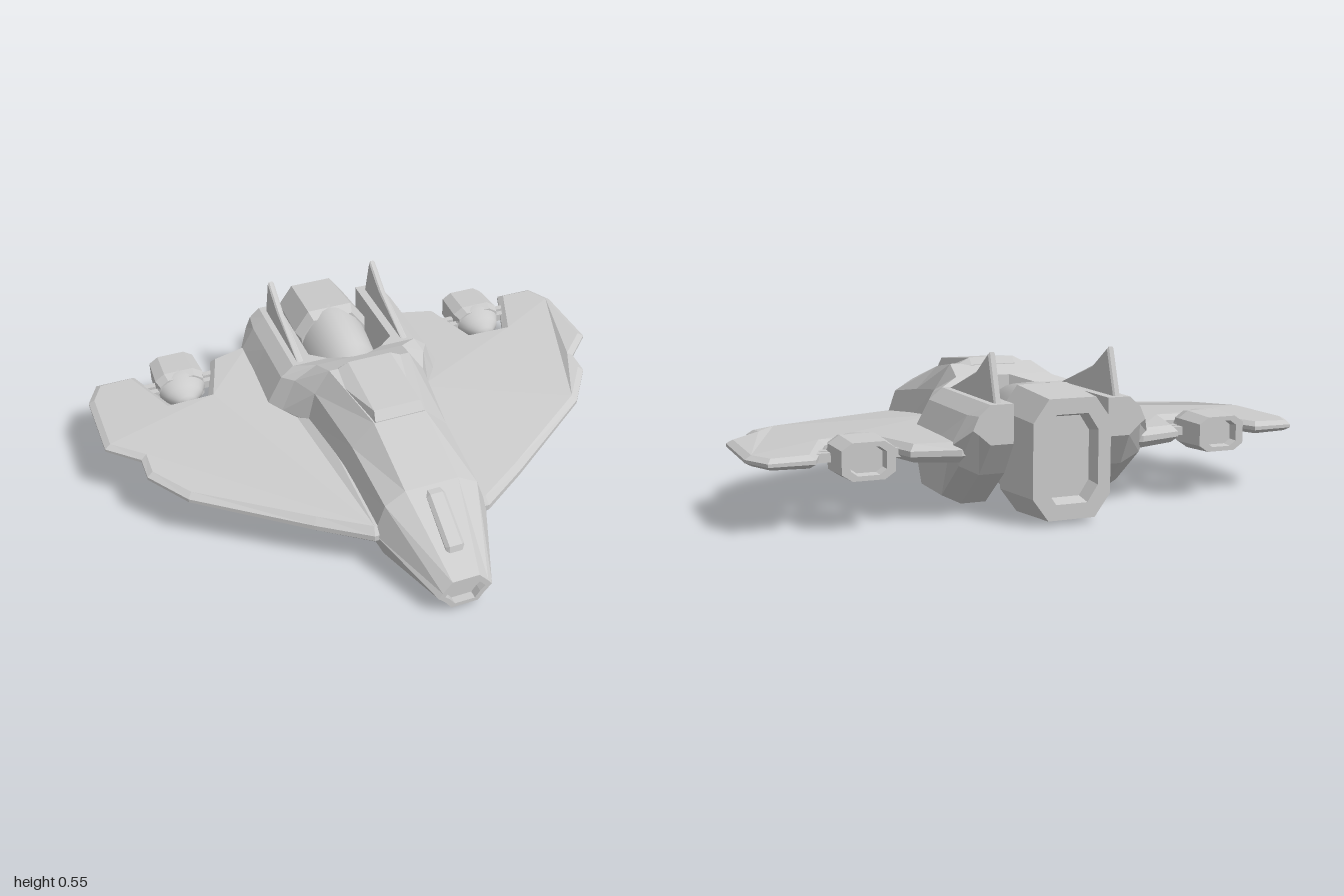
import * as THREE from 'three';

const flat = new THREE.MeshStandardMaterial({ color: 0xcccccc, flatShading: true });
const smooth = new THREE.MeshStandardMaterial({ color: 0xcccccc, side: THREE.DoubleSide });

function add(parent, name, geometry, material = flat) {
  const mesh = new THREE.Mesh(geometry, material);
  mesh.name = name;
  parent.add(mesh);
  return mesh;
}

// Skin over closed loops, counter-clockwise from +z, ordered front to back; both ends capped
function loft(loops) {
  const pos = [];
  const tri = (a, b, c) => pos.push(...a, ...b, ...c);
  const n = loops[0].length;
  for (let i = 0; i < loops.length - 1; i++) {
    for (let j = 0; j < n; j++) {
      const k = (j + 1) % n;
      const a = loops[i][j], b = loops[i][k], c = loops[i + 1][k], d = loops[i + 1][j];
      tri(a, d, c);
      tri(a, c, b);
    }
  }
  const cap = (loop, front) => {
    const mid = [0, 1, 2].map(k => loop.reduce((s, p) => s + p[k], 0) / n);
    loop.forEach((p, j) => {
      const q = loop[(j + 1) % n];
      front ? tri(mid, p, q) : tri(mid, q, p);
    });
  };
  cap(loops[0], true);
  cap(loops[loops.length - 1], false);
  const g = new THREE.BufferGeometry();
  g.setAttribute('position', new THREE.Float32BufferAttribute(pos, 3));
  g.computeVertexNormals();
  return g;
}

const flip = loop => loop.map(([x, y, z]) => [-x, y, z]).reverse();
const mirrored = half => [...half, ...flip(half)];

// Right half of a body section, from the keel up to the roof edge
const halfSection = ([z, yb, bx, vx, wx, wy, sx, sy, tx, ty]) =>
  [[bx, yb, z], [vx, yb + 0.035, z], [wx, wy, z], [sx, sy, z], [tx, ty, z]];

// Side profile given as [z, y], extruded across x
function sideProfile(points, width, bevel) {
  const g = new THREE.ExtrudeGeometry(
    new THREE.Shape(points.map(([z, y]) => new THREE.Vector2(-z, y))),
    { depth: width - 2 * bevel, bevelEnabled: true, bevelSize: bevel, bevelOffset: -bevel,
      bevelThickness: bevel, bevelSegments: 1 });
  return g.translate(0, 0, -width / 2 + bevel).rotateY(Math.PI / 2);
}

// Chamfered rectangle for the nozzles
const chamfered = (hx, hy, z) => mirrored(
  [[0.6 * hx, -hy, z], [hx, -0.62 * hy, z], [hx, 0.62 * hy, z], [0.6 * hx, hy, z]]);

// Rounded nose followed by a faceted, recessed nozzle
function engine(parent, name, rx, ry, nose, zMid, zEnd, depth) {
  const g = new THREE.Group();
  g.name = name;
  const profile = nose.map(([r, z]) => new THREE.Vector2(r, z));
  add(g, 'engineNose', new THREE.LatheGeometry(profile, 28).rotateX(Math.PI / 2).scale(rx, ry, 1), smooth);
  add(g, 'nozzle', loft([
    chamfered(rx * 0.9, ry * 0.9, zMid + 0.04),
    chamfered(rx, ry, zMid),
    chamfered(rx * 0.92, ry * 0.92, zEnd),
    chamfered(rx * 0.62, ry * 0.68, zEnd),
    chamfered(rx * 0.56, ry * 0.62, zEnd + depth)
  ]));
  parent.add(g);
  return g;
}

// Wing plan as [x, z]
const wingPlan = [
  [0.17, 0.5], [0.22, 0.5], [0.4, 0.385], [0.78, 0.12], [0.89, -0.03], [0.89, -0.12], [1, -0.23],
  [1, -0.53], [0.95, -0.63], [0.8, -0.63], [0.71, -0.4], [0.56, -0.4], [0.49, -0.62], [0.33, -0.66],
  [0.2, -0.62], [0.2, -0.12]
];

function wing(s) {
  const g = new THREE.ExtrudeGeometry(
    new THREE.Shape(wingPlan.map(([x, z]) => new THREE.Vector2(s * x, -z))),
    { depth: 0.6, bevelEnabled: true, bevelSize: 0.022, bevelOffset: -0.022, bevelThickness: 0.7, bevelSegments: 1 });
  g.translate(0, 0, -0.3).rotateX(-Math.PI / 2);
  // Thin out toward the tip and droop toward the nose
  const p = g.attributes.position;
  for (let i = 0; i < p.count; i++) {
    const thick = THREE.MathUtils.mapLinear(Math.abs(p.getX(i)), 0.2, 1, 0.037, 0.017);
    const droop = Math.max(0, p.getZ(i) + 0.12) * 0.125;
    p.setY(i, 0.243 - droop + p.getY(i) * thick);
  }
  g.computeVertexNormals();
  return g;
}

export function createModel() {
  const ship = new THREE.Group();
  ship.name = 'spacecraft';

  // Fuselage with a recessed opening in the nose
  const hull = [
    [0.78, 0.03, 0.05, 0.075, 0.1, 0.09, 0.085, 0.11, 0.05, 0.15],
    [0.48, 0.03, 0.13, 0.18, 0.215, 0.17, 0.175, 0.285, 0.1, 0.33],
    [0.19, 0.03, 0.15, 0.2, 0.22, 0.21, 0.185, 0.33, 0.1, 0.415],
    [-0.11, 0.03, 0.18, 0.22, 0.25, 0.25, 0.22, 0.37, 0.16, 0.46],
    [-0.21, 0.03, 0.22, 0.28, 0.32, 0.25, 0.265, 0.375, 0.175, 0.425]
  ].map(s => mirrored(halfSection(s)));
  const inset = z => hull[0].map(([x, y]) => [x * 0.75, 0.092 + (y - 0.092) * 0.75, z]);
  add(ship, 'fuselage', loft([inset(0.75), inset(0.78), ...hull]));

  // Canopy
  const canopy = [
    [0.19, 0.1, 0.4, 0.095, 0.418],
    [0.165, 0.105, 0.4, 0.09, 0.45],
    [-0.11, 0.165, 0.44, 0.085, 0.48],
    [-0.13, 0.165, 0.43, 0.085, 0.455]
  ].map(([z, bx, by, tx, ty]) => mirrored([[bx, by, z], [tx, ty, z]]));
  add(ship, 'canopy', loft(canopy));

  // Raised block on the nose
  add(ship, 'noseScoop', sideProfile(
    [[0.7, 0.18], [0.69, 0.225], [0.52, 0.322], [0.495, 0.322], [0.48, 0.28]], 0.07, 0.012));

  // Rear booms on either side of the engine bay; last value is the inner wall x
  const boom = [
    [-0.21, 0.03, 0.22, 0.28, 0.32, 0.25, 0.265, 0.375, 0.175, 0.425, 0.03],
    [-0.27, 0.03, 0.26, 0.33, 0.36, 0.25, 0.3, 0.36, 0.25, 0.4, 0.11],
    [-0.32, 0.03, 0.26, 0.33, 0.36, 0.25, 0.3, 0.36, 0.25, 0.4, 0.17],
    [-0.47, 0.03, 0.26, 0.33, 0.36, 0.25, 0.3, 0.36, 0.25, 0.4, 0.17],
    [-0.63, 0.16, 0.26, 0.33, 0.36, 0.26, 0.3, 0.36, 0.25, 0.4, 0.17],
    [-0.705, 0.27, 0.25, 0.29, 0.31, 0.32, 0.29, 0.365, 0.25, 0.4, 0.17]
  ].map(s => [[s[10], s[1], s[0]], ...halfSection(s), [s[10], s[9], s[0]]]);

  for (const [s, side] of [[1, 'left'], [-1, 'right']]) {
    add(ship, side + 'Boom', loft(s > 0 ? boom : boom.map(flip)));
    add(ship, side + 'Wing', wing(s));
    const fin = add(ship, side + 'Fin', sideProfile(
      [[-0.27, 0.395], [-0.52, 0.485], [-0.63, 0.56], [-0.685, 0.385]], 0.025, 0.006));
    fin.position.x = s * 0.215;

    // Wing engine held in the trailing-edge notch
    const pod = engine(ship, side + 'WingEngine', 0.095, 0.066,
      [[1, -0.54], [1, -0.5], [0.72, -0.45], [0.35, -0.415], [0, -0.41]], -0.53, -0.66, 0.03);
    pod.position.set(s * 0.64, 0.24, 0);
    for (const z of [-0.505, -0.545]) {
      const strut = add(ship, side + 'EngineStrut', new THREE.BoxGeometry(0.28, 0.03, 0.025));
      strut.position.set(s * 0.64, 0.24, z);
    }
  }

  // Main engine and its cross mount
  const main = engine(ship, 'mainEngine', 0.15, 0.215,
    [[1, -0.57], [1, -0.5], [0.86, -0.32], [0.5, -0.265], [0.18, -0.232], [0, -0.225]], -0.55, -0.785, 0.05);
  main.position.y = 0.222;
  const mount = add(ship, 'mainEngineMount', new THREE.BoxGeometry(0.36, 0.04, 0.035));
  mount.position.set(0, 0.25, -0.41);

  return ship;
}
